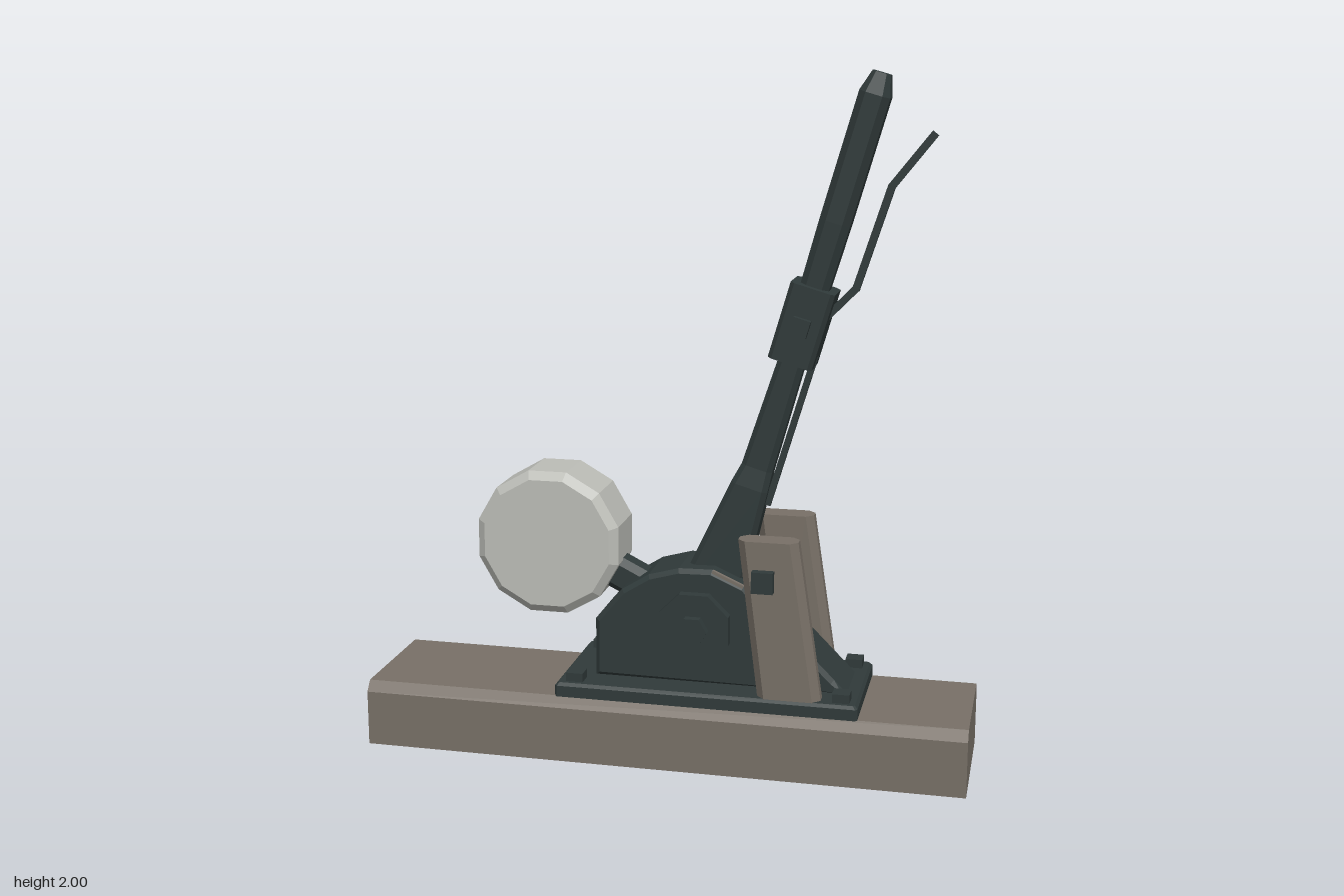
import * as THREE from 'three';

const mat = (name, color) => Object.assign(new THREE.MeshStandardMaterial({ color, flatShading: true }), { name });

// Stack of chamfered rectangular rings: [y, centreX, halfX, halfZ, chamfer]
function loft(sections) {
  const pos = [], idx = [];
  for (const [y, cx, a, b, c] of sections) {
    const ring = [[a, b - c], [a - c, b], [c - a, b], [-a, b - c], [-a, c - b], [c - a, -b], [a - c, -b], [a, c - b]];
    for (const [x, z] of ring) pos.push(cx + x, y, z);
  }
  const n = sections.length;
  for (let s = 0; s < n - 1; s++) {
    for (let i = 0; i < 8; i++) {
      const p = s * 8 + i, q = s * 8 + (i + 1) % 8;
      idx.push(p, p + 8, q, q, p + 8, q + 8);
    }
  }
  const t = (n - 1) * 8;
  for (let i = 1; i < 7; i++) {
    idx.push(0, i, i + 1, t, t + i + 1, t + i);
  }
  // Ring order runs clockwise seen from above, so flip to face outward
  for (let i = 0; i < idx.length; i += 3) [idx[i + 1], idx[i + 2]] = [idx[i + 2], idx[i + 1]];
  let g = new THREE.BufferGeometry();
  g.setAttribute('position', new THREE.Float32BufferAttribute(pos, 3));
  g.setIndex(idx);
  // Orient by signed volume so every loft faces outward
  let vol = 0;
  const v = i => new THREE.Vector3().fromArray(pos, i * 3);
  for (let i = 0; i < idx.length; i += 3) vol += v(idx[i]).dot(v(idx[i + 1]).cross(v(idx[i + 2])));
  if (vol < 0) {
    for (let i = 0; i < idx.length; i += 3) [idx[i + 1], idx[i + 2]] = [idx[i + 2], idx[i + 1]];
    g.setIndex(idx);
  }
  g = g.toNonIndexed();
  g.computeVertexNormals();
  return g;
}

// Extruded outline, centred in depth, with inward bevelled edges
function slab(points, depth, bevel = 0) {
  const shape = new THREE.Shape(points.map(p => new THREE.Vector2(...p)));
  const g = new THREE.ExtrudeGeometry(shape, {
    depth: depth - 2 * bevel, bevelEnabled: bevel > 0, bevelThickness: bevel,
    bevelSize: bevel, bevelOffset: -bevel, bevelSegments: 1,
  });
  return g.translate(0, 0, -depth / 2 + bevel);
}

export function createModel() {
  const model = new THREE.Group();
  const iron = mat('dark iron', 0x303a3a);
  const wood = mat('weathered wood', 0x787067);
  const paint = mat('pale paint', 0xbcbdb7);

  function add(name, geometry, material, x = 0, y = 0, z = 0, parent = model) {
    const m = new THREE.Mesh(geometry, material);
    m.name = name;
    m.position.set(x, y, z);
    parent.add(m);
    return m;
  }
  // Square bar between two points in the lever plane
  function bar(name, [x1, y1], [x2, y2], w) {
    const len = Math.hypot(x2 - x1, y2 - y1);
    const m = add(name, new THREE.BoxGeometry(w, len + w * 0.4, w), iron, (x1 + x2) / 2, (y1 + y2) / 2);
    m.rotation.z = -Math.atan2(x2 - x1, y2 - y1);
  }

  // Sleeper with chamfered long edges
  add('sleeper', slab([[-0.21, 0], [0.21, 0], [0.21, 0.165], [0.187, 0.195], [-0.187, 0.195], [-0.21, 0.165]], 1.785)
    .rotateY(Math.PI / 2), wood);

  // Base plate and its corner bolts
  add('basePlate', loft([[0.195, 0.135, 0.445, 0.195, 0.006], [0.228, 0.135, 0.445, 0.195, 0.006],
    [0.237, 0.135, 0.437, 0.187, 0.006]]), iron);
  for (const x of [-0.255, 0.53]) for (const z of [-0.15, 0.15]) {
    add('plateBolt', new THREE.BoxGeometry(0.05, 0.03, 0.05), iron, x, 0.248, z);
  }

  // Housing with arched top and sloping end
  add('housing', slab([[-0.21, 0.235], [0.54, 0.235], [0.5, 0.275], [0.235, 0.54], [0.14, 0.582], [0.04, 0.58],
    [-0.05, 0.555], [-0.13, 0.505], [-0.21, 0.41]], 0.21, 0.013), iron);

  for (const s of [-1, 1]) {
    // Worn edge strip on the housing
    add('housingEdge', new THREE.BoxGeometry(0.1, 0.009, 0.013), wood, 0.187, 0.558, s * 0.097).rotation.z = -0.42;

    // Pivot hub and nut
    add('pivotHub', new THREE.CylinderGeometry(0.112, 0.112, 0.04, 8).rotateY(Math.PI / 8).rotateX(Math.PI / 2),
      iron, 0.092, 0.41, s * 0.115);
    add('pivotNut', new THREE.CylinderGeometry(0.045, 0.045, 0.06, 6).rotateY(Math.PI / 6 + Math.PI / 3).rotateX(Math.PI / 2),
      iron, 0.092, 0.41, s * 0.13);

    // Tapered side post with bolt
    add('sidePost', loft([[0.235, 0.38, 0.092, 0.037, 0.022], [0.7, 0.315, 0.086, 0.037, 0.022]]), wood, 0, 0, s * 0.151);
    add('postBolt', new THREE.BoxGeometry(0.062, 0.062, 0.05), iron, 0.306, 0.588, s * 0.19);
  }

  // Counterweight: twelve-sided drum with chamfered rims
  const rim = [[0, -0.1], [0.197, -0.1], [0.222, -0.08], [0.222, 0.08], [0.197, 0.1], [0, 0.1]];
  add('counterweight', new THREE.LatheGeometry(rim.map(p => new THREE.Vector2(...p)), 12)
    .rotateY(Math.PI / 12).rotateX(Math.PI / 2), paint, -0.358, 0.63, 0);

  // Arm from the pivot to the counterweight
  const arm = add('counterweightArm', loft([[-0.25, 0, 0.05, 0.045, 0.02], [0.25, 0, 0.05, 0.045, 0.02]]),
    iron, -0.135, 0.52, 0);
  arm.rotation.z = 1.11;

  // Lever, built upright around its collar and then tilted
  const lever = new THREE.Group();
  lever.name = 'lever';
  lever.position.set(0.383, 1.297, 0);
  lever.rotation.z = -0.284;
  model.add(lever);
  add('leverShaft', loft([[-0.88, -0.028, 0.095, 0.052, 0.015], [-0.5, -0.008, 0.055, 0.048, 0.015],
    [-0.44, -0.004, 0.046, 0.04, 0.015], [-0.05, 0, 0.037, 0.037, 0.015]]), iron, 0, 0, 0, lever);
  add('collar', loft([[-0.112, 0, 0.065, 0.072, 0.012], [0.112, 0, 0.065, 0.072, 0.012]]), iron, 0, 0, 0, lever);
  add('collarBolt', new THREE.BoxGeometry(0.05, 0.05, 0.184), iron, 0, 0, 0, lever);
  add('handle', loft([[0.08, 0, 0.041, 0.043, 0.018], [0.3, 0, 0.044, 0.047, 0.02], [0.665, 0, 0.044, 0.047, 0.02],
    [0.725, 0, 0.026, 0.028, 0.011]]), iron, 0, 0, 0, lever);

  // Latch rod below the collar, bent release grip above it
  bar('latchRod', [0.415, 1.2], [0.285, 0.765], 0.018);
  const grip = [[0.44, 1.31], [0.528, 1.4], [0.62, 1.685], [0.733, 1.828]];
  for (let i = 0; i < 3; i++) bar('releaseGrip', grip[i], grip[i + 1], 0.021);

  return model;
}
